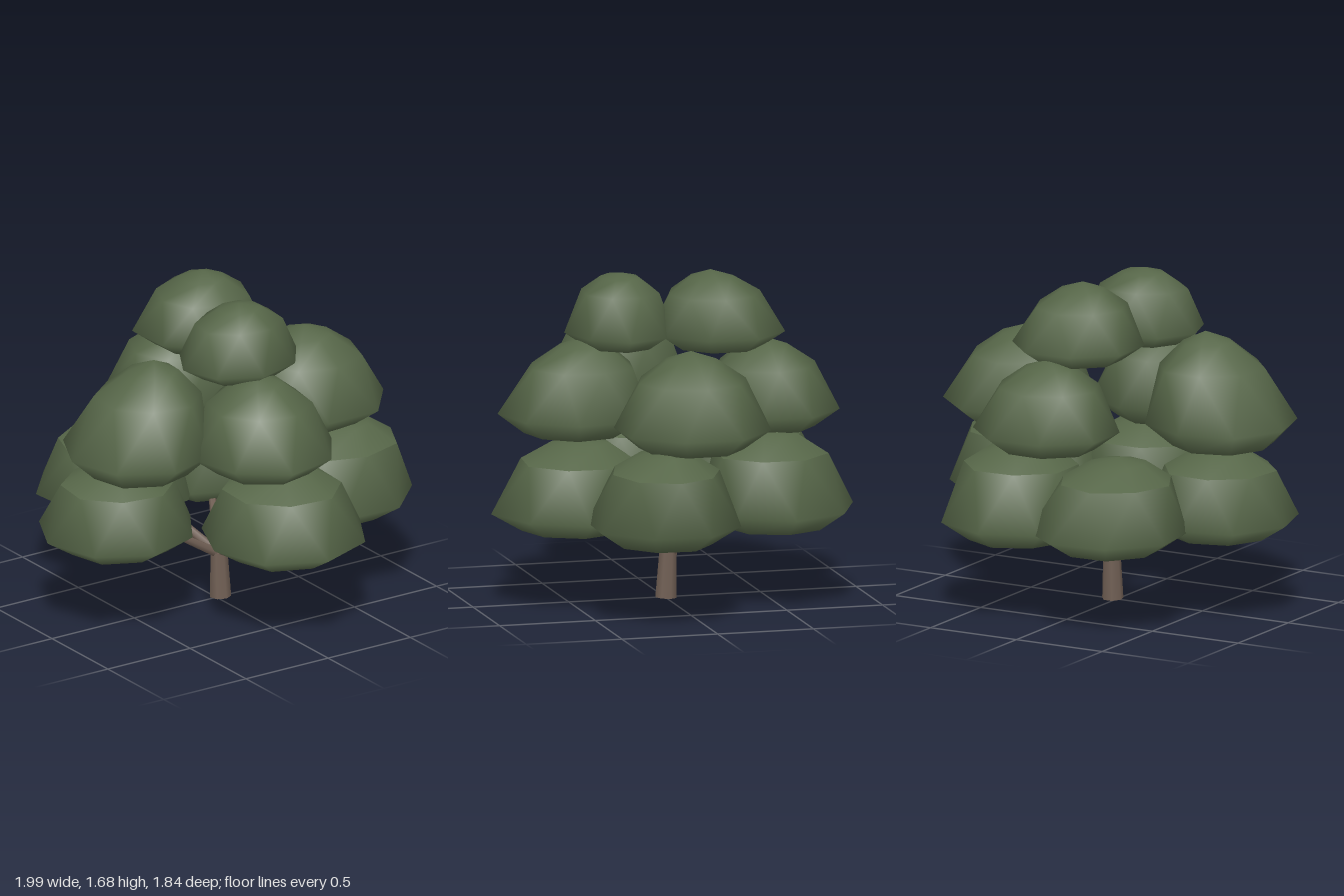
import * as THREE from 'three';

const leafGreen = new THREE.MeshStandardMaterial({ color: 0x566648 });
leafGreen.name = 'leafGreen';
const barkBrown = new THREE.MeshStandardMaterial({ color: 0x705f54 });
barkBrown.name = 'barkBrown';

const SIDES = 8, SHOULDER = 3;
// Dome cross-sections from the underside up: [radius, height, twist in steps]
const SQUARE = [[0.4, 0, 0], [0.66, 0.02, 0], [1.02, 0.21, 0], [0.73, 0.75, 0.5], [0.36, 0.94, 0.5]];
const PEAKED = [[0.4, 0, 0], [0.68, 0.02, 0], [1.02, 0.22, 0], [0.72, 0.7, 0.5], [0.34, 0.91, 0.5]];

// Leaf dome; the apex leans away from the centre, a crease parts cap from skirt
function domeGeometry([x, z, rx, rz, y0, y1, turn, ax, az], profile, creased) {
  const pos = [], index = [], h = y1 - y0;
  const rings = creased ? [...profile.slice(0, SHOULDER + 1), ...profile.slice(SHOULDER)] : profile;
  for (const [r, t, twist] of rings) {
    for (let i = 0; i < SIDES; i++) {
      const a = turn + ((i + twist) / SIDES) * Math.PI * 2;
      const wobble = 1 + 0.025 * Math.sin(i * 2.4 + t * 7 + turn * 9);
      const lean = Math.max(0, t - 0.2);
      pos.push(x + Math.cos(a) * r * rx * wobble + ax * lean, y0 + h * t,
        z + Math.sin(a) * r * rz * wobble + az * lean);
    }
  }
  const bottom = pos.length / 3, top = bottom + 1, last = (rings.length - 1) * SIDES;
  pos.push(x, y0 + 0.005, z, x + ax * 0.8, y1, z + az * 0.8);
  for (let i = 0; i < SIDES; i++) {
    const j = (i + 1) % SIDES;
    index.push(bottom, i, j, top, last + j, last + i);
    for (let k = 0; k < rings.length - 1; k++) {
      if (creased && k === SHOULDER) continue;
      const a = k * SIDES, b = a + SIDES;
      index.push(a + i, b + i, a + j, a + j, b + i, b + j);
    }
  }
  const g = new THREE.BufferGeometry();
  g.setAttribute('position', new THREE.Float32BufferAttribute(pos, 3));
  g.setIndex(index);
  g.computeVertexNormals();
  return g;
}

// Tapered round limb between two points
function limb(name, from, to, r0, r1, sides) {
  const dir = to.clone().sub(from);
  const m = new THREE.Mesh(new THREE.CylinderGeometry(r1, r0, dir.length(), sides), barkBrown);
  m.name = name;
  m.position.copy(from).addScaledVector(dir, 0.5);
  m.quaternion.setFromUnitVectors(new THREE.Vector3(0, 1, 0), dir.normalize());
  return m;
}

// Each clump: x, z, radiusX, radiusZ, bottom, top, turn, apex lean x, z
const TIERS = {
  lowerFoliage: [
    [0.08, 0.50, 0.42, 0.41, 0.38, 0.86, 0.05, 0, -0.05],
    [0.58, 0.17, 0.43, 0.38, 0.385, 0.89, 0.4, 0.08, 0],
    [-0.60, 0, 0.40, 0.39, 0.40, 0.87, 0.1, 0, 0],
    [-0.26, -0.52, 0.40, 0.41, 0.39, 0.87, 0.3, -0.04, 0.05],
    [0.28, -0.50, 0.40, 0.40, 0.38, 0.90, 0.0, 0, 0.05],
  ],
  middleFoliage: [
    [-0.03, 0.46, 0.37, 0.375, 0.85, 1.35, 0.2, 0, -0.07],
    [0.56, 0.01, 0.385, 0.39, 0.855, 1.36, 0.35, -0.04, 0],
    [-0.55, 0.11, 0.38, 0.38, 0.835, 1.42, 0.1, 0.12, 0],
    [0.11, -0.51, 0.37, 0.35, 0.865, 1.33, 0.39, 0, 0.03],
  ],
  topFoliage: [
    [-0.02, 0.23, 0.32, 0.27, 1.29, 1.67, 0.1, 0, 0],
    [0.07, -0.26, 0.33, 0.33, 1.28, 1.68, 0.39, 0, 0.05],
  ],
};

// Branch tips, each hidden inside a clump
const BRANCH_TIPS = [
  [0.07, 0.56, 0.46], [-0.55, 0.58, 0], [-0.24, 0.56, -0.47], [0.26, 0.56, -0.46], [0.5, 0.98, 0.01],
];

export function createModel() {
  const tree = new THREE.Group();
  tree.name = 'tree';

  // Trunk and branches
  const fork = new THREE.Vector3(0.022, 0.24, -0.012);
  tree.add(limb('trunk', new THREE.Vector3(0.024, 0, 0), fork, 0.055, 0.045, 7));
  const start = new THREE.Vector3(0.022, 0.225, -0.012);
  for (const tip of BRANCH_TIPS) {
    tree.add(limb('branch', start, new THREE.Vector3(...tip), 0.026, 0.014, 6));
  }

  // Foliage tiers; the front crown clump is flatter on top than the other high ones
  for (const [tier, clumps] of Object.entries(TIERS)) {
    const group = new THREE.Group();
    group.name = tier;
    const low = tier === 'lowerFoliage';
    clumps.forEach((c, i) => {
      const flatTop = low || (tier === 'topFoliage' && i === 0);
      const dome = new THREE.Mesh(domeGeometry(c, flatTop ? SQUARE : PEAKED, low), leafGreen);
      dome.name = 'leafClump';
      group.add(dome);
    });
    tree.add(group);
  }
  return tree;
}
